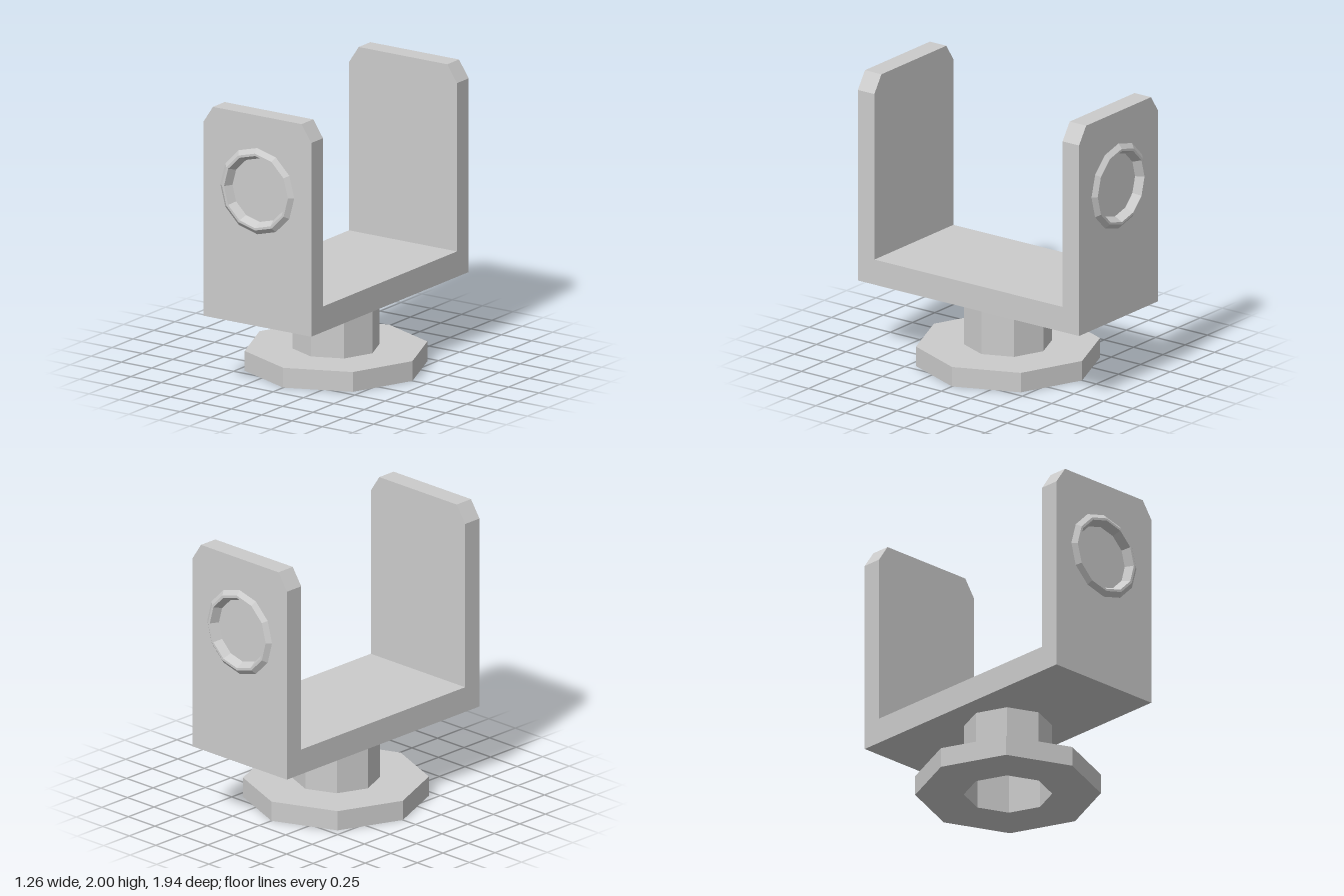
import * as THREE from 'three';

const grey = new THREE.MeshStandardMaterial({ color: 0xcccccc, flatShading: true });
const greyDouble = new THREE.MeshStandardMaterial({ color: 0xcccccc, flatShading: true, side: THREE.DoubleSide });

const HALF_W = 0.445, BOTTOM = 0.51, FLOOR_TOP = 0.69;
const INNER_Z = 0.8, RECESS_Z = 0.91, OUTER_Z = 0.94, RING_Z = 0.968, RING_Y = 1.465;

function part(name, geometry, material = grey) {
  const mesh = new THREE.Mesh(geometry, material);
  mesh.name = name;
  return mesh;
}

function lathe(points, sides) {
  return new THREE.LatheGeometry(points.map(([r, y]) => new THREE.Vector2(r, y)), sides);
}

// Upright outline with chamfered top corners
function cheekShape() {
  return new THREE.Shape([
    [-HALF_W, BOTTOM], [HALF_W, BOTTOM], [HALF_W, 1.88],
    [0.365, 2], [-0.365, 2], [-HALF_W, 1.88],
  ].map(([x, y]) => new THREE.Vector2(x, y)));
}

function slab(shape, z0, z1) {
  return new THREE.ExtrudeGeometry(shape, { depth: z1 - z0, bevelEnabled: false }).translate(0, 0, z0);
}

// One upright with its recessed, twelve-sided pivot ring on the outer face
function createCheek(name) {
  const cheek = new THREE.Group();
  cheek.name = name;
  const outer = cheekShape();
  const hole = [];
  for (let i = 0; i < 12; i++) {
    const a = -i * Math.PI / 6;
    hole.push(new THREE.Vector2(0.25 * Math.cos(a), RING_Y + 0.25 * Math.sin(a)));
  }
  outer.holes.push(new THREE.Path(hole));
  cheek.add(part('cheekPlate', slab(cheekShape(), INNER_Z, RECESS_Z)));
  cheek.add(part('cheekFacing', slab(outer, RECESS_Z, OUTER_Z)));

  const ring = lathe([[0.305, OUTER_Z], [0.272, RING_Z], [0.255, RING_Z], [0.225, RECESS_Z]], 12);
  ring.rotateX(Math.PI / 2).translate(0, RING_Y, 0);
  cheek.add(part('pivotRing', ring, greyDouble));
  return cheek;
}

export function createModel() {
  const model = new THREE.Group();
  model.name = 'swivelBracket';

  // Octagonal foot with a bore through it
  model.add(part('baseFlange', lathe([[0.3, 0], [0.63, 0], [0.63, 0.14], [0.3, 0.14]], 8)));

  // Hollow stem, open at the bottom
  const stem = new THREE.CylinderGeometry(0.3, 0.3, BOTTOM, 8, 1, true).translate(0, BOTTOM / 2, 0);
  model.add(part('stem', stem, greyDouble));

  // U-shaped bracket
  const floor = new THREE.BoxGeometry(2 * HALF_W, FLOOR_TOP - BOTTOM, 2 * INNER_Z);
  floor.translate(0, (FLOOR_TOP + BOTTOM) / 2, 0);
  model.add(part('bracketFloor', floor));
  const back = createCheek('backCheek');
  back.rotation.y = Math.PI;
  model.add(createCheek('frontCheek'), back);

  return model;
}
